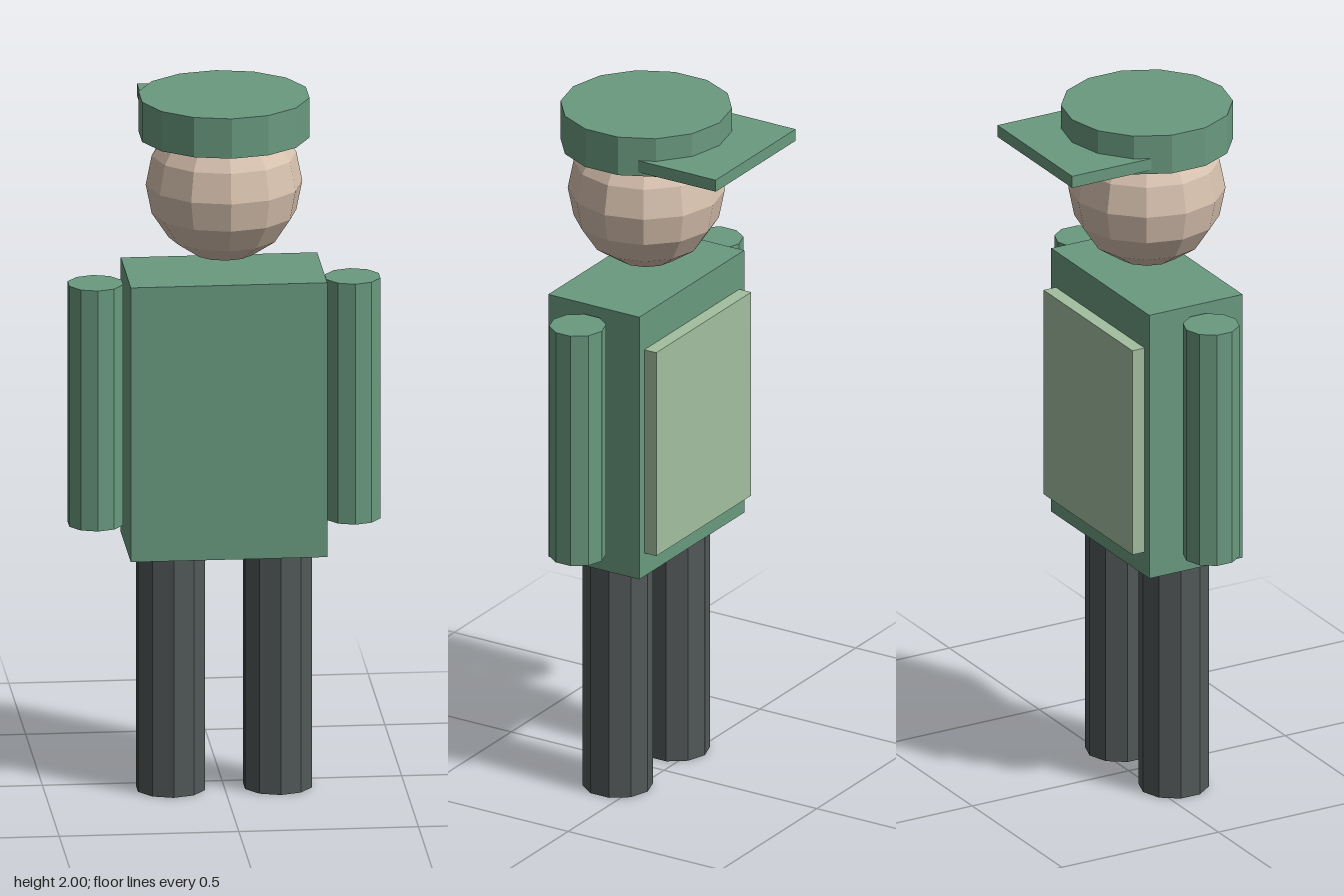
import * as THREE from 'three';

const flat = (name, color) => {
  const m = new THREE.MeshStandardMaterial({ color, flatShading: true });
  m.name = name;
  return m;
};

export function createModel() {
  const green = flat('uniform green', 0x6a9a7f);
  const pale = flat('pale green', 0xa2bf9f);
  const skin = flat('skin', 0xd9c3b0);
  const dark = flat('dark grey', 0x525858);

  const model = new THREE.Group();
  model.name = 'figure';
  const Z = 0.058; // body axis

  const add = (name, geometry, material, x, y, z) => {
    const mesh = new THREE.Mesh(geometry, material);
    mesh.name = name;
    mesh.position.set(x, y, z);
    model.add(mesh);
  };
  // upright prism between two heights
  const column = (name, r, y0, y1, sides, material, x) =>
    add(name, new THREE.CylinderGeometry(r, r, y1 - y0, sides), material, x, (y0 + y1) / 2, Z);

  // torso and back panel
  add('torso', new THREE.BoxGeometry(0.547, 0.793, 0.298), green, 0, 1.096, Z);
  add('backPanel', new THREE.BoxGeometry(0.495, 0.615, 0.05), pale, 0, 1.077, -0.105);

  // limbs
  for (const [side, s] of [['left', 1], ['right', -1]]) {
    column(side + 'Leg', 0.098, 0, 0.71, 10, dark, s * 0.149);
    column(side + 'Arm', 0.079, 0.77, 1.465, 10, green, s * 0.358);
  }

  // head and cap
  add('head', new THREE.SphereGeometry(0.218, 12, 8), skin, 0, 1.746, Z);
  column('cap', 0.239, 1.885, 2, 14, green, 0);
  add('visor', new THREE.BoxGeometry(0.417, 0.035, 0.26), green, 0, 1.914, -0.17);

  return model;
}
